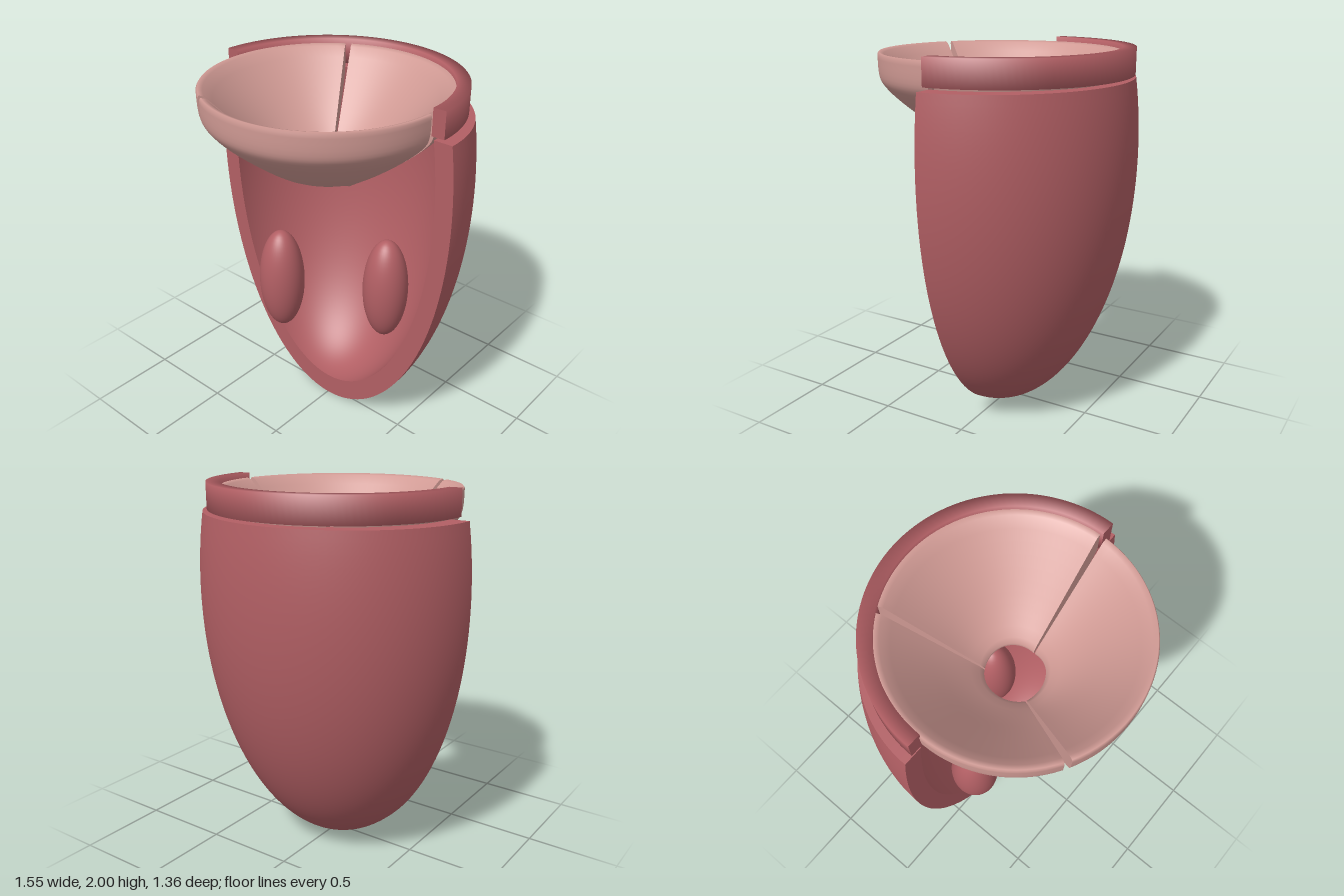
import * as THREE from 'three';

const red = new THREE.MeshStandardMaterial({ color: 0xb25f64, side: THREE.DoubleSide });
red.name = 'muscle red';
const pink = new THREE.MeshStandardMaterial({ color: 0xd09a94, side: THREE.DoubleSide });
pink.name = 'valve pink';

const CUT_Z = 0.043; // plane on which the wall is cut open
const v = (x, y) => new THREE.Vector2(x, y);

function addMesh(parent, name, geometry, material) {
  const mesh = new THREE.Mesh(geometry, material);
  mesh.name = name;
  parent.add(mesh);
  return mesh;
}

// Half ellipse profile from the bottom tip up to the rim height
function ellipseProfile(rx, ry, n = 48) {
  const centreY = 1.448, end = Math.asin(0.398 / ry), pts = [];
  for (let i = 0; i <= n; i++) {
    const a = -Math.PI / 2 + (i / n) * (end + Math.PI / 2);
    pts.push(v(Math.max(0, rx * Math.cos(a)), centreY + ry * Math.sin(a)));
  }
  return pts;
}

// Sweeps a closed profile around y and caps both ends; deform(u, vertex) is optional
function sweep(name, profile, start, length, segments, material, deform) {
  const group = new THREE.Group();
  group.name = name;
  const body = new THREE.LatheGeometry([...profile, profile[0]], segments, start, length);
  if (deform) {
    const pos = body.attributes.position, p = new THREE.Vector3();
    for (let i = 0; i < pos.count; i++) {
      p.fromBufferAttribute(pos, i);
      const row = Math.floor(i / (profile.length + 1));
      deform((row / segments) * 2 - 1, p);
      pos.setXYZ(i, p.x, p.y, p.z);
    }
    body.computeVertexNormals();
  }
  addMesh(group, name + 'Body', body, material);
  for (const phi of [start, start + length]) {
    const cap = new THREE.ShapeGeometry(new THREE.Shape(profile));
    cap.rotateY(phi - Math.PI / 2);
    addMesh(group, name + 'End', cap, material);
  }
  return group;
}

export function createModel() {
  const model = new THREE.Group();
  model.name = 'ventricleModel';

  // Half shell: outer wall, inner wall, top rim and flat cut face
  const wall = new THREE.Group();
  wall.name = 'ventricleWall';
  wall.scale.z = 0.935;
  wall.position.z = CUT_Z;
  const outer = ellipseProfile(0.775, 1.448);
  const inner = ellipseProfile(0.675, 1.32);
  const half = (pts) => new THREE.LatheGeometry(pts, 64, Math.PI / 2, Math.PI);
  addMesh(wall, 'outerWall', half(outer), red);
  addMesh(wall, 'innerWall', half([...inner].reverse()), red);
  addMesh(wall, 'topRim', half([outer.at(-1), inner.at(-1)]), red);
  const mirror = (pts) => pts.slice(1).map((p) => v(-p.x, p.y));
  const section = new THREE.Shape([
    ...mirror(outer).reverse(), ...outer,
    ...[...inner].reverse(), ...mirror(inner),
  ]);
  addMesh(wall, 'cutFace', new THREE.ShapeGeometry(section), red);
  model.add(wall);

  // Half ring around the valve
  const ring = sweep('valveRing', [
    v(0.63, 1.93), v(0.63, 1.862), v(0.70, 1.862), v(0.70, 2.0), v(0.63, 2.0),
  ], Math.PI / 2, Math.PI, 64, red);
  ring.position.z = CUT_Z;
  model.add(ring);

  // Two muscles: one at the cut plane, one deep in the cavity
  for (const [name, x, z] of [['rightPapillaryMuscle', -0.355, 0.045], ['leftPapillaryMuscle', 0.178, -0.265]]) {
    const muscle = addMesh(model, name, new THREE.SphereGeometry(1, 40, 28), red);
    muscle.scale.set(0.133, 0.32, 0.133);
    muscle.position.set(x, 0.68, z);
  }

  // Three cusps, bulging outside and conical inside, around a round opening
  const outside = new THREE.SplineCurve([
    v(0.155, 1.455), v(0.36, 1.592), v(0.52, 1.718), v(0.603, 1.8),
    v(0.632, 1.86), v(0.637, 1.965),
  ]).getPoints(20);
  const inside = [v(0.63, 1.975), v(0.605, 1.966)];
  for (let i = 1; i <= 10; i++) {
    inside.push(v(0.605 - 0.043 * i, 1.966 - 0.0455 * i));
  }
  inside.push(v(0.153, 1.478));
  const gap = 0.027, third = (Math.PI * 2) / 3;
  const scallop = (u, p) => {
    const r = Math.hypot(p.x, p.z);
    const fade = THREE.MathUtils.clamp(1 - (r - 0.15) / 0.2, 0, 1);
    p.y += 0.033 * (1 - u * u) * fade * fade;
  };
  ['frontCusp', 'backCusp', 'rightCusp'].forEach((name, i) => {
    const start = -Math.PI / 6 + i * third + gap;
    const cusp = sweep(name, [...outside, ...inside], start, third - 2 * gap, 32, pink, scallop);
    cusp.position.z = CUT_Z;
    model.add(cusp);
  });

  return model;
}
